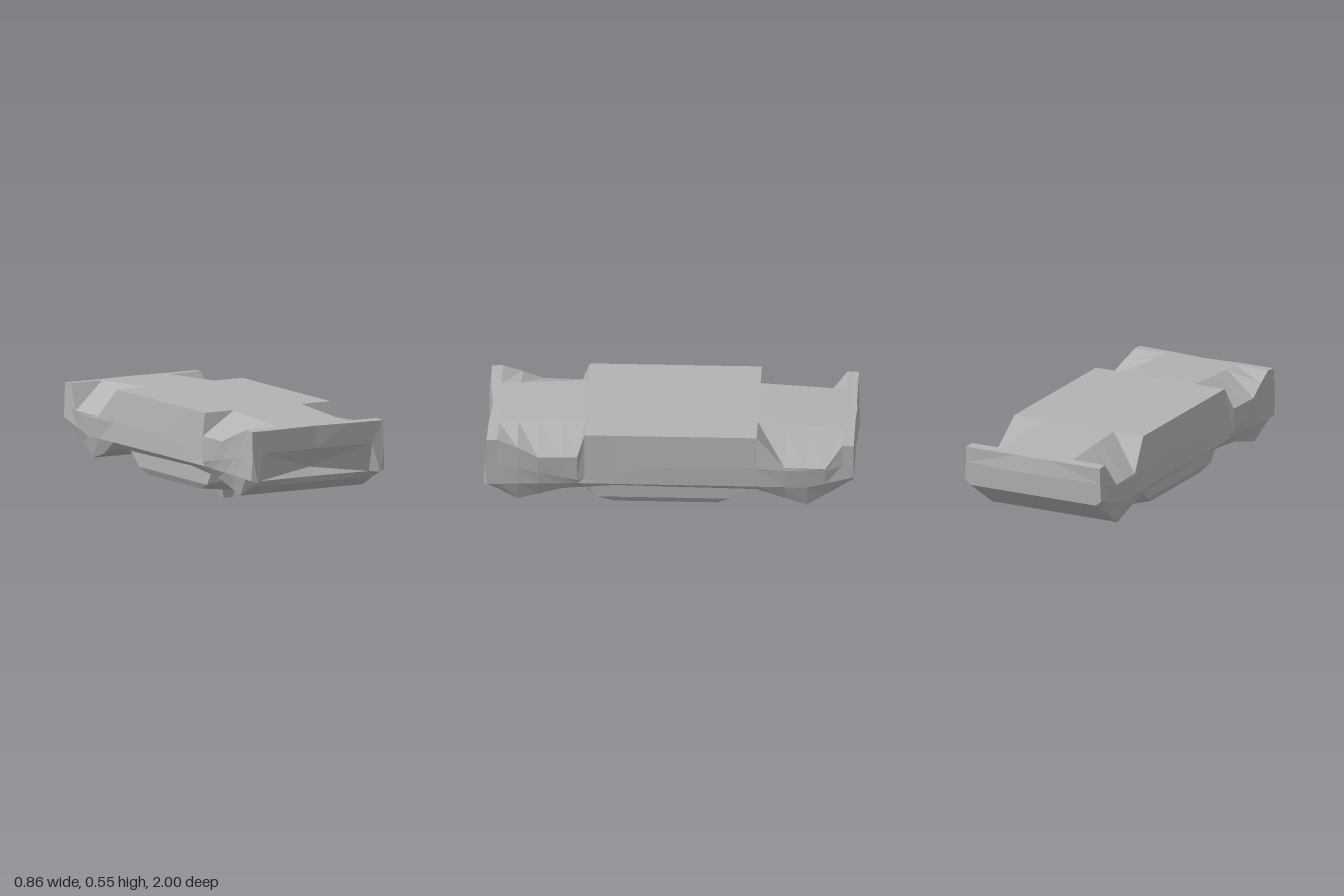
import * as THREE from 'three';
import { ConvexGeometry } from 'three/addons/geometries/ConvexGeometry.js';

// Linear ramp through two parallel lists, z falling from front to back
function ramp(z, zs, values) {
  let k = 0;
  while (k < zs.length - 2 && z < zs[k + 1]) k++;
  const t = THREE.MathUtils.clamp((zs[k] - z) / (zs[k] - zs[k + 1]), 0, 1);
  return THREE.MathUtils.lerp(values[k], values[k + 1], t);
}

// Depth of the wheel arches: 0 between them, 1 along their outer edge
function arch(z) {
  return z > 0
    ? ramp(z, [0.925, 0.71, 0.5, 0.46], [0, 1, 1, 0])
    : ramp(z, [-0.46, -0.61, -0.83, -0.92], [0, 1, 1, 0]);
}

// Cross-section of the left half at z, from top centre round to bottom centre
function section(z) {
  const a = arch(z);
  const end = Math.max(0, Math.abs(z) - 0.46);
  const roof = 0.547 - 0.06 * end;
  const edge = THREE.MathUtils.lerp(roof, z > 0 ? 0.43 : 0.385, a);
  const edgeX = 0.39 + 0.03 * end + a * (z > 0 ? 0.033 : 0.025);
  const crease = ramp(z, [1, 0.5, 0.05, -0.83, -0.98], [0.39, 0.29, 0.37, 0.37, 0.42]);
  const sill = ramp(z, [1, 0.5, -0.73, -0.98], [0.25, 0.265, 0.262, 0.33]);
  const belly = ramp(z, [0.985, 0.82, 0.58, 0.3, -0.46, -0.73, -0.98], [0.24, 0.148, 0.215, 0.24, 0.23, 0.14, 0.305]);
  return [
    [0, roof], [0.21, roof], [edgeX, edge], [0.408 + 0.015 * a, crease],
    [0.412, sill], [0.38, belly], [z > 0.93 ? 0.34 : 0.21, belly], [0, belly],
  ].map(([x, y]) => [x, y, z]);
}

// Faceted geometry from triangles of the left half plus their mirror images
function mirrored(tris) {
  const flip = ([x, y, z]) => [-x, y, z];
  const out = tris.flatMap(([a, b, c]) => [a, b, c, flip(a), flip(c), flip(b)]).flat();
  const g = new THREE.BufferGeometry();
  g.setAttribute('position', new THREE.Float32BufferAttribute(out, 3));
  g.computeVertexNormals();
  return g;
}

// Convex part from the points of its left half
function hull(points) {
  return new ConvexGeometry(points.flatMap(([x, y, z]) => [new THREE.Vector3(x, y, z), new THREE.Vector3(-x, y, z)]));
}

export function createModel() {
  const group = new THREE.Group();
  const grey = new THREE.MeshStandardMaterial({ color: 0xb2b2b2 });
  grey.name = 'grey';
  const add = (name, geometry) => {
    const mesh = new THREE.Mesh(geometry, grey);
    mesh.name = name;
    group.add(mesh);
    return mesh;
  };

  // Body shell lofted through the cross-sections, with a flat back
  const stations = [0.985, 0.925, 0.82, 0.71, 0.58, 0.5, 0.46, 0.3, 0.05, -0.46, -0.61, -0.73, -0.83, -0.92, -0.98];
  const rings = stations.map(section);
  // the front ring is staggered: bowed in at the centre, tips forward
  const frontZ = [0.965, 0.98, 0.985, 0.995, 0.985, 1, 0.95, 0.94];
  rings[0].forEach((p, j) => { p[2] = frontZ[j]; });
  const shell = [];
  for (let i = 0; i < rings.length - 1; i++) {
    const [p, q] = [rings[i], rings[i + 1]];
    for (let j = 0; j < p.length - 1; j++) {
      // the diagonal follows the fold of the wheel arch
      if (p[2][1] >= q[2][1]) shell.push([p[j], p[j + 1], q[j + 1]], [p[j], q[j + 1], q[j]]);
      else shell.push([p[j], p[j + 1], q[j]], [p[j + 1], q[j + 1], q[j]]);
    }
  }
  const back = rings[rings.length - 1];
  for (let j = 1; j < back.length - 1; j++) shell.push([back[0], back[j], back[j + 1]]);
  add('bodyShell', mirrored(shell));

  // Front panel over a recess, between two pointed corner posts
  const [a0, a1, a2, crease, sill, tip, d1, d0] = rings[0];
  const b0 = [0, 0.395, 0.97], b1 = [0.34, 0.395, 0.985], c0 = [0, 0.285, 0.9];
  add('frontPanel', mirrored([
    [a0, b0, a1], [a1, b0, b1], [a1, b1, a2],
    [a2, b1, tip], [a2, tip, crease], [crease, tip, sill], [b1, d1, tip],
    [b0, c0, b1], [c0, d1, b1], [c0, d0, d1],
  ]));

  // Overhanging rear bumper, bowed outward in the middle
  add('rearBumper', hull([0, 0.4].flatMap((x) => {
    const z = -1 + x * 0.05;
    return [[x, 0.517, -0.95], [x, 0.517, z + 0.015], [x, 0.43, z], [x, 0.455, -0.95]];
  })));

  // Cabin bulge underneath, each level given as height, half width, front, back
  const levels = [
    [0.085, 0.21, 0.07, -0.28], [0.108, 0.21, 0.4, -0.3], [0.11, 0.32, 0.3, -0.25],
    [0.145, 0.34, 0.4, -0.31], [0.235, 0.34, 0.46, -0.42], [0.215, 0.21, 0.58, -0.43],
  ];
  add('cabin', hull(levels.flatMap(([y, x, front, rear]) => [[x, y, front], [x, y, rear]])));

  // Tapered peg below the cabin
  const peg = new THREE.CylinderGeometry(0.052 * Math.SQRT2, 0.027 * Math.SQRT2, 0.09, 4).rotateY(Math.PI / 4).toNonIndexed();
  peg.computeVertexNormals();
  add('peg', peg).position.set(0, 0.045, 0.018);

  return group;
}
